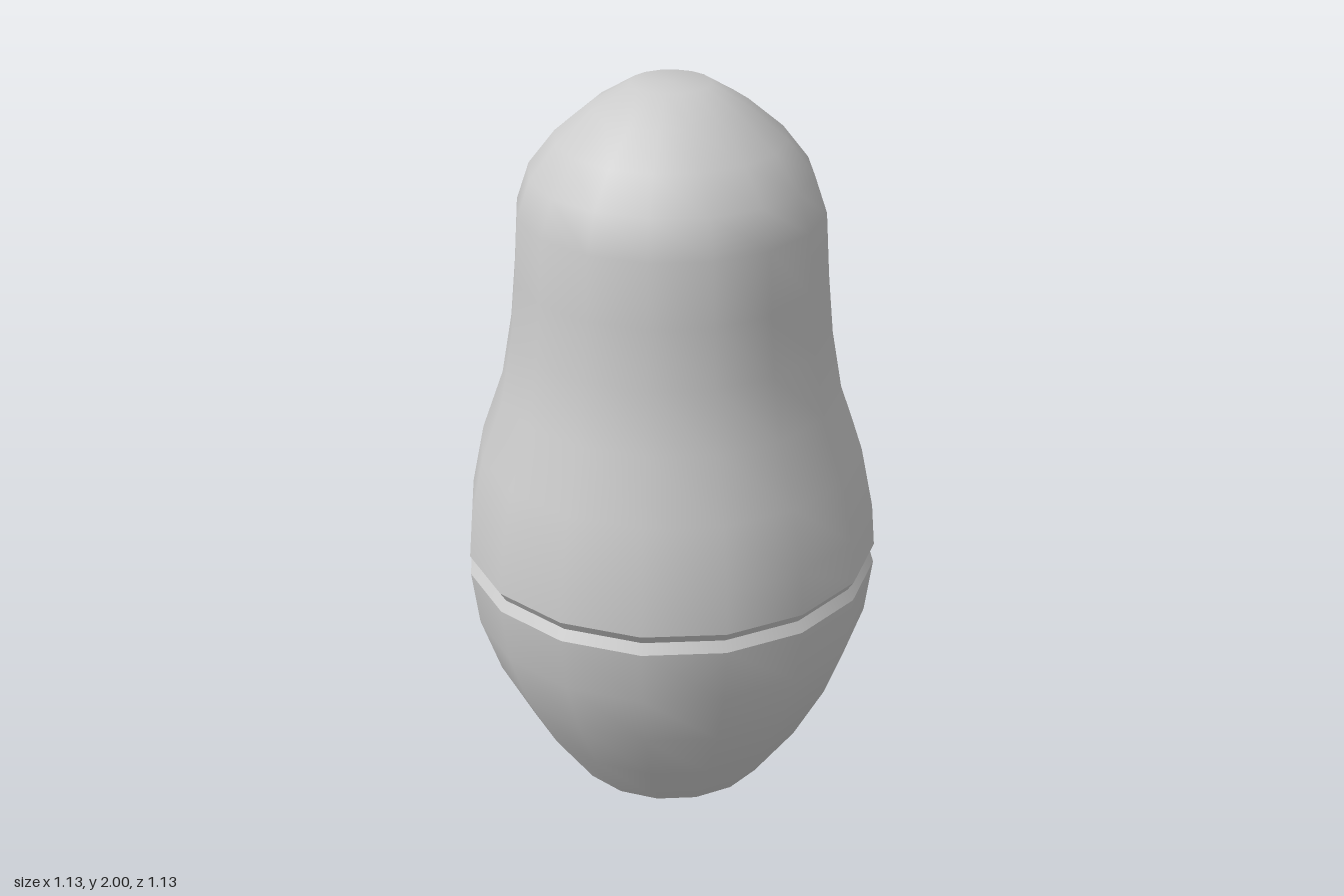
import * as THREE from 'three';

const SIDES = 16;

// Each entry is a smooth [radius, height] profile; edges stay sharp between entries.
const PROFILES = {
  base: [[0, 0], [0.28, 0]],
  lowerBody: [[0.28, 0], [0.4, 0.17], [0.49, 0.34], [0.545, 0.5], [0.565, 0.655]],
  grooveLowerFace: [[0.565, 0.655], [0.548, 0.683]],
  grooveUpperFace: [[0.548, 0.683], [0.565, 0.71]],
  upperBodyAndHead: [
    [0.565, 0.71], [0.555, 0.83], [0.52, 1.0], [0.46, 1.17], [0.43, 1.34], [0.415, 1.5],
    [0.404, 1.67], [0.37, 1.77], [0.3, 1.86], [0.205, 1.94], [0.105, 2], [0, 2],
  ],
};

export function createModel() {
  const doll = new THREE.Group();
  doll.name = 'nestingDoll';
  const material = new THREE.MeshStandardMaterial({ color: 0xcccccc });

  // Turned shells, stacked from the flat foot to the rounded head
  for (const [name, profile] of Object.entries(PROFILES)) {
    const points = profile.map(([r, y]) => new THREE.Vector2(r, y));
    const part = new THREE.Mesh(new THREE.LatheGeometry(points, SIDES), material);
    part.name = name;
    doll.add(part);
  }
  return doll;
}
